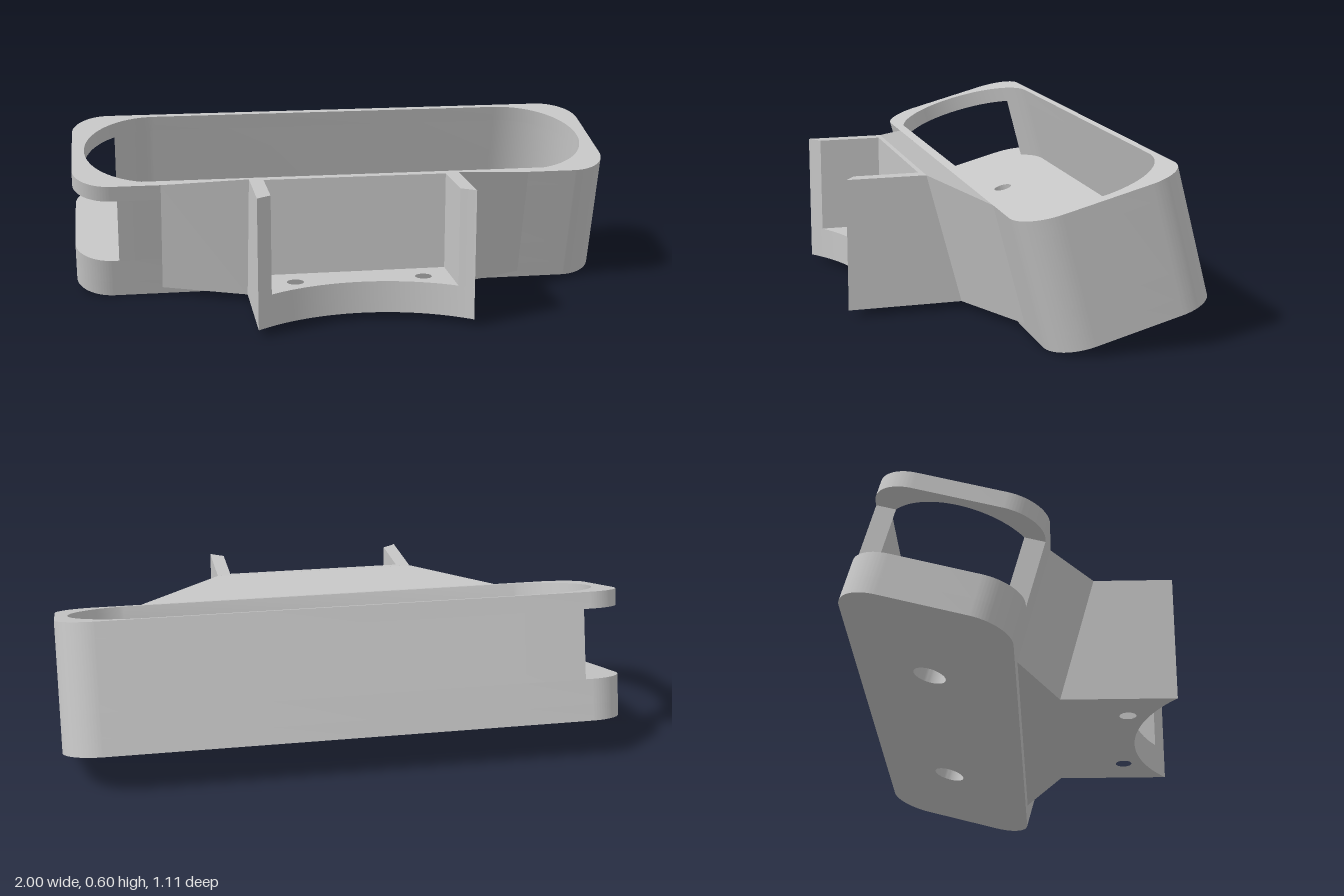
import * as THREE from 'three';
import { toCreasedNormals } from 'three/addons/utils/BufferGeometryUtils.js';

const TILT = Math.PI / 12;
const grey = new THREE.MeshStandardMaterial({ color: 0xc6c6c6 });
grey.name = 'plain grey';

// Plans are drawn as (x, towards the back) and raised from y0 to y1.
function raise(name, shape, y0, y1) {
  const g = new THREE.ExtrudeGeometry(shape, { depth: y1 - y0, bevelEnabled: false, curveSegments: 20 });
  g.rotateX(-Math.PI / 2).translate(0, y0, 0);
  const mesh = new THREE.Mesh(toCreasedNormals(g, 0.4), grey);
  mesh.name = name;
  return mesh;
}

function circle(x, y, r) {
  return new THREE.Path().absarc(x, y, r, 0, Math.PI * 2, true);
}

// Tray sizes
const D = 0.583, H = 0.46, FLOOR = 0.15, BAND = 0.4, C = 0.14;
const P = { x: 0.685, y: 0.293, r: 0.27, front: 0.031 };
const clip = Math.asin((P.y - P.front) / P.r); // where the pocket's end arcs meet its flat front
const CUT = -0.84;

function outerPlan() {
  const s = new THREE.Shape();
  const q = Math.PI / 2;
  s.absarc(1 - C, C, C, -q, 0, false);
  s.absarc(1 - C, D - C, C, 0, q, false);
  s.absarc(-1 + C, D - C, C, q, 2 * q, false);
  s.absarc(-1 + C, C, C, 2 * q, 3 * q, false);
  s.closePath();
  return s;
}

function basePlan(r) {
  const s = outerPlan();
  for (const x of [-0.468, 0.468]) s.holes.push(circle(x, 0.312, r));
  return s;
}

function rimPlan() {
  const s = outerPlan();
  const p = new THREE.Path();
  p.absarc(P.x, P.y, P.r, -clip, Math.PI / 2, false);
  p.absarc(-P.x, P.y, P.r, Math.PI / 2, Math.PI + clip, false);
  p.closePath();
  s.holes.push(p);
  return s;
}

// C-shaped wall, open at the right end
function wallPlan() {
  const s = new THREE.Shape();
  const a = Math.acos((CUT + P.x) / P.r);
  s.moveTo(CUT, 0);
  s.lineTo(1 - C, 0);
  s.absarc(1 - C, C, C, -Math.PI / 2, 0, false);
  s.absarc(1 - C, D - C, C, 0, Math.PI / 2, false);
  s.lineTo(CUT, D);
  s.absarc(-P.x, P.y, P.r, a, Math.PI / 2, true);
  s.absarc(P.x, P.y, P.r, Math.PI / 2, -clip, true);
  s.absarc(-P.x, P.y, P.r, Math.PI + clip, Math.PI * 2 - a, true);
  s.closePath();
  return s;
}

// Bracket sizes
const W = 0.378, INNER = 0.328, Y0 = 0.025, SHELF = 0.14, Y1 = 0.49, BACK = 0.15;
const ARC = { y: -1.025, r: 0.602 };
const angleAt = (x) => Math.acos(x / ARC.r);

function shelfPlan() {
  const s = new THREE.Shape();
  s.moveTo(-W, -BACK);
  s.lineTo(W, -BACK);
  s.absarc(0, ARC.y, ARC.r, angleAt(W), Math.PI - angleAt(W), false);
  s.closePath();
  for (const x of [-0.23, 0.23]) s.holes.push(circle(x, -0.39, 0.03));
  return s;
}

// U-shaped plan: rear wall and two side walls
function cheeksPlan() {
  const s = new THREE.Shape();
  s.moveTo(-W, -BACK);
  s.lineTo(W, -BACK);
  s.absarc(0, ARC.y, ARC.r, angleAt(W), angleAt(INNER), false);
  s.lineTo(INNER, -0.292);
  s.lineTo(-INNER, -0.292);
  s.absarc(0, ARC.y, ARC.r, Math.PI - angleAt(INNER), Math.PI - angleAt(W), false);
  s.closePath();
  return s;
}

// Lean the rear face of a bracket part to follow the tray
function leanBack(mesh) {
  const p = mesh.geometry.attributes.position;
  for (let i = 0; i < p.count; i++) {
    if (p.getZ(i) < BACK + 0.01) p.setZ(i, BACK + (p.getY(i) - Y0) * Math.tan(TILT));
  }
  mesh.geometry = toCreasedNormals(mesh.geometry, 0.4);
  return mesh;
}

// Flared neck: a loft from the tray front to the bracket rear
function neck() {
  const section = (w, yb, zb, yt, zt) => [[-w, yb, zb], [w, yb, zb], [w, yt, zt], [-w, yt, zt]];
  const a = section(0.685, Y0, 0.011, 0.444, 0.123);
  const b = section(W, Y0, BACK, Y1, 0.275);
  const pos = [];
  for (let i = 0; i < 4; i++) {
    const j = (i + 1) % 4;
    pos.push(...a[i], ...a[j], ...b[j], ...a[i], ...b[j], ...b[i]);
  }
  const g = new THREE.BufferGeometry();
  g.setAttribute('position', new THREE.Float32BufferAttribute(pos, 3));
  g.computeVertexNormals();
  const mesh = new THREE.Mesh(g, grey);
  mesh.name = 'neck';
  return mesh;
}

export function createModel() {
  const model = new THREE.Group();
  model.name = 'trayMount';

  // Tilted tray with counterbored screw holes
  const tray = new THREE.Group();
  tray.name = 'tray';
  tray.add(
    raise('baseCounterbore', basePlan(0.058), 0, 0.06),
    raise('baseFloor', basePlan(0.035), 0.06, FLOOR),
    raise('wall', wallPlan(), FLOOR, BAND),
    raise('rim', rimPlan(), BAND, H)
  );
  tray.rotation.x = TILT;
  tray.position.z = 0.005;

  // Upright bracket with a curved front
  const bracket = new THREE.Group();
  bracket.name = 'bracket';
  bracket.add(
    leanBack(raise('shelf', shelfPlan(), Y0, SHELF)),
    leanBack(raise('cheeks', cheeksPlan(), SHELF, Y1)),
    neck()
  );

  model.add(tray, bracket);
  return model;
}
